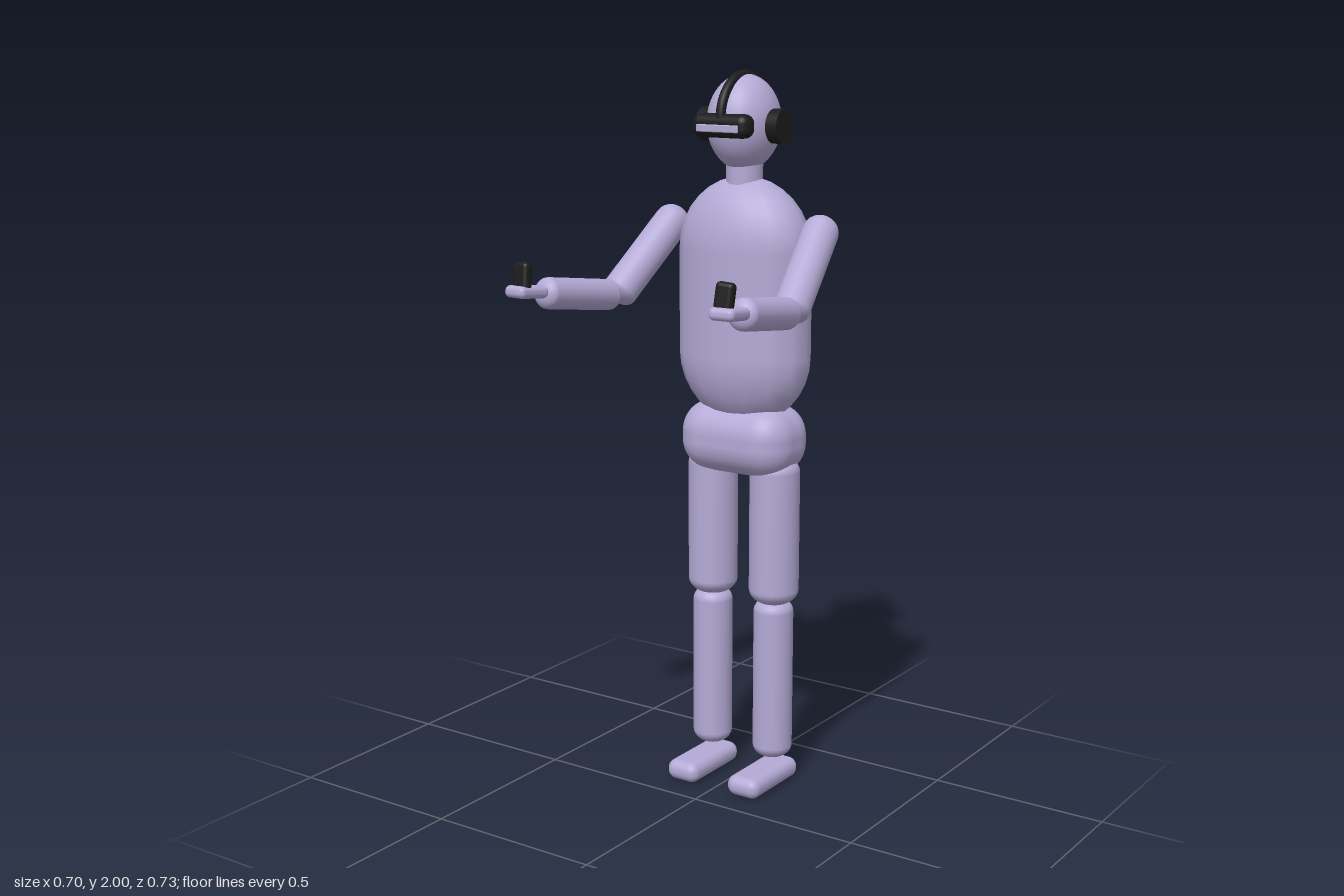
import * as THREE from 'three';
import { RoundedBoxGeometry } from 'three/addons/geometries/RoundedBoxGeometry.js';

export function createModel() {
  const model = new THREE.Group();
  model.name = 'headsetMannequin';

  const body = new THREE.MeshStandardMaterial({ color: 0xb4aad6 });
  body.name = 'lilac';
  const black = new THREE.MeshStandardMaterial({ color: 0x1c1c1c });
  black.name = 'black';

  const add = (name, geometry, material, x = 0, y = 0, z = 0, parent = model) => {
    const mesh = new THREE.Mesh(geometry, material);
    mesh.name = name;
    mesh.position.set(x, y, z);
    parent.add(mesh);
    return mesh;
  };
  const box = (w, h, d, r) => new RoundedBoxGeometry(w, h, d, 5, r);

  // Round limb between two tips, with domed ends of the given heights
  const limb = (name, from, to, r, capA, capB, parent) => {
    const a = new THREE.Vector3(...from);
    const dir = new THREE.Vector3(...to).sub(a);
    const length = dir.length();
    const points = [];
    const steps = 7;
    for (let i = 0; i <= steps; i++) {
      const t = (i / steps) * Math.PI / 2;
      points.push(new THREE.Vector2(r * Math.sin(t), capA * (1 - Math.cos(t))));
    }
    for (let i = steps; i >= 0; i--) {
      const t = (i / steps) * Math.PI / 2;
      points.push(new THREE.Vector2(r * Math.sin(t), length - capB * (1 - Math.cos(t))));
    }
    const mesh = add(name, new THREE.LatheGeometry(points, 24), body, a.x, a.y, a.z, parent);
    mesh.quaternion.setFromUnitVectors(new THREE.Vector3(0, 1, 0), dir.normalize());
    return mesh;
  };

  // Torso, flattened front to back, and pelvis
  add('torso', new THREE.CapsuleGeometry(0.198, 0.288, 8, 16), body, 0, 1.378, -0.24).scale.z = 0.64;
  add('pelvis', box(0.345, 0.2, 0.22, 0.088), body, 0, 1.0, -0.24);

  // Neck and head
  add('neck', new THREE.CylinderGeometry(0.05, 0.05, 0.12, 24), body, 0, 1.71, -0.235);
  add('head', new THREE.SphereGeometry(1, 40, 28), body, 0, 1.862, -0.232).scale.set(0.097, 0.128, 0.109);

  // Headset: visor, light strip, ear pieces and strap over the head
  const headset = new THREE.Group();
  headset.name = 'headset';
  model.add(headset);
  add('visor', box(0.175, 0.063, 0.06, 0.024), black, 0, 1.858, -0.131, headset);
  add('visorStrip', box(0.13, 0.02, 0.008, 0.003), body, 0, 1.852, -0.101, headset);
  const strap = add('strap', new THREE.TorusGeometry(0.112, 0.013, 12, 40, Math.PI), black, 0, 1.875, -0.229, headset);
  strap.rotation.y = Math.PI / 2;
  for (const s of [-1, 1]) {
    const ear = add('earPiece', new THREE.CylinderGeometry(0.046, 0.046, 0.034, 28), black, s * 0.111, 1.855, -0.232, headset);
    ear.rotation.z = Math.PI / 2;
  }

  // Arms and legs on both sides
  for (const s of [-1, 1]) {
    const side = s > 0 ? 'left' : 'right';
    const arm = new THREE.Group();
    arm.name = side + 'Arm';
    const leg = new THREE.Group();
    leg.name = side + 'Leg';
    model.add(arm, leg);

    limb('upperArm', [s * 0.233, 1.612, -0.268], [s * 0.277, 1.392, -0.016], 0.049, 0.045, 0.026, arm);
    limb('forearm', [s * 0.28, 1.4, -0.02], [s * 0.307, 1.438, 0.264], 0.042, 0.026, 0.028, arm);

    const hand = add('hand', box(0.07, 0.032, 0.102, 0.014), body, s * 0.313, 1.447, 0.313, arm);
    hand.rotation.set(-0.1, s * 0.1, 0);
    const grip = add('controller', box(0.05, 0.072, 0.03, 0.012), black, s * 0.311, 1.49, 0.33, arm);
    grip.rotation.set(-0.13, s * 0.1, s * -0.06);

    limb('thigh', [s * 0.102, 0.53, -0.24], [s * 0.102, 0.96, -0.24], 0.07, 0.045, 0.045, leg);
    limb('shin', [s * 0.102, 0.075, -0.24], [s * 0.102, 0.55, -0.24], 0.056, 0.038, 0.038, leg);
    add('foot', box(0.102, 0.058, 0.24, 0.027), body, s * 0.102, 0.031, -0.19, leg);
  }
  return model;
}
